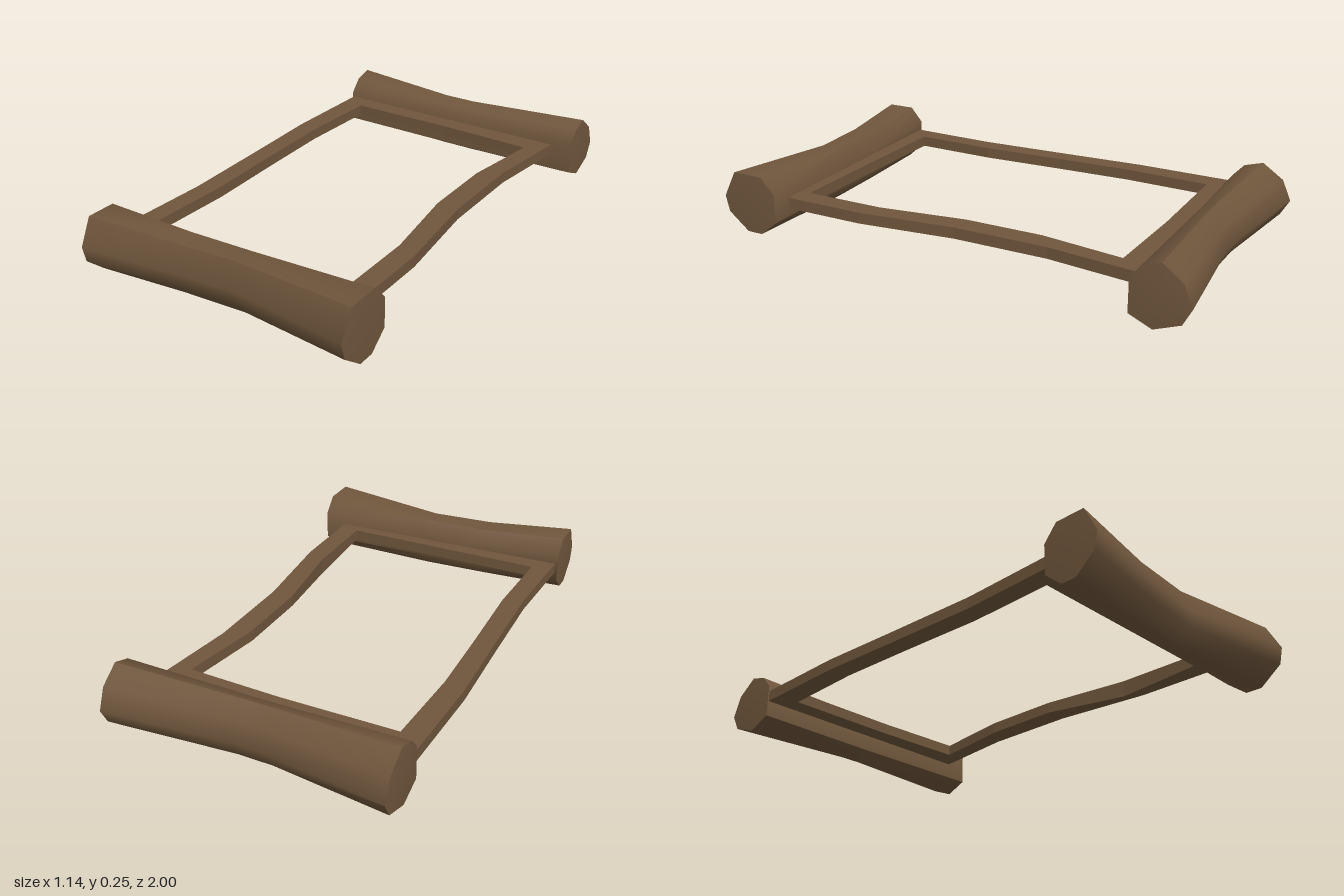
import * as THREE from 'three';
import { toCreasedNormals } from 'three/addons/utils/BufferGeometryUtils.js';

// Log lofted along x from an eight-sided profile.
// profile: [t, h] with t 0 = inner edge, 1 = outer edge; h 0 = bottom, 1 = top.
// stations: [x, inner z, outer z, bottom y, top y]
function logGeometry(profile, stations) {
  const n = profile.length, pos = [], index = [];
  for (const [x, zi, zo, yb, yt] of stations)
    for (const [t, h] of profile) pos.push(x, yb + h * (yt - yb), zi + t * (zo - zi));
  for (let i = 0; i < stations.length - 1; i++)
    for (let j = 0; j < n; j++) {
      const k = (j + 1) % n;
      const a = i * n + j, b = a + n, c = (i + 1) * n + k, d = i * n + k;
      index.push(a, b, c, a, c, d);
    }
  // slightly domed end caps
  const last = stations.length - 1;
  for (const [s, dir] of [[0, -1], [last, 1]]) {
    const [x, zi, zo, yb, yt] = stations[s];
    const centre = pos.length / 3;
    pos.push(x + dir * 0.007, (yb + yt) / 2, (zi + zo) / 2);
    for (let j = 0; j < n; j++) {
      const a = s * n + j, b = s * n + (j + 1) % n;
      if (dir > 0) index.push(centre, b, a);
      else index.push(centre, a, b);
    }
  }
  const g = new THREE.BufferGeometry();
  g.setAttribute('position', new THREE.Float32BufferAttribute(pos, 3));
  g.setIndex(index);
  return toCreasedNormals(g, 0.9);
}

// Wavy rectangular frame, outlines given as [x, z]
function frameGeometry() {
  const toPoints = (list) => list.map(([x, z]) => new THREE.Vector2(x, -z));
  const shape = new THREE.Shape(toPoints([
    [-0.56, -0.8], [-0.57, -0.34], [-0.555, 0], [-0.54, 0.4], [-0.555, 0.82],
    [0.47, 0.8], [0.47, 0.4], [0.425, 0], [0.425, -0.385], [0.475, -0.8],
  ]));
  shape.holes.push(new THREE.Path(toPoints([
    [-0.47, -0.675], [-0.485, -0.32], [-0.475, 0], [-0.46, 0.355], [-0.47, 0.7],
    [0.385, 0.7], [0.385, 0.36], [0.335, 0], [0.335, -0.32], [0.385, -0.66], [0, -0.675],
  ])));
  const g = new THREE.ExtrudeGeometry(shape, { depth: 0.045, bevelEnabled: false });
  g.rotateX(-Math.PI / 2).translate(0, 0.105, 0);
  // sag in the lower inner edge of the left rail
  const p = g.attributes.position;
  for (let i = 0; i < p.count; i++)
    if (p.getY(i) < 0.12 && Math.abs(p.getX(i) - 0.385) < 0.01 && Math.abs(p.getZ(i) - 0.36) < 0.01)
      p.setY(i, 0.083);
  g.computeVertexNormals();
  return g;
}

export function createModel() {
  const wood = new THREE.MeshStandardMaterial({ color: 0x6f563c });
  wood.name = 'brown wood';
  const group = new THREE.Group();
  group.name = 'logFrame';
  const add = (name, geometry) => {
    const mesh = new THREE.Mesh(geometry, wood);
    mesh.name = name;
    group.add(mesh);
  };

  add('frame', frameGeometry());

  add('frontLog', logGeometry(
    [[0.77, 1], [0.24, 1], [0, 0.74], [0, 0.25], [0.31, 0], [0.58, 0], [0.94, 0.29], [1, 0.56]],
    [
      [-0.565, 0.775, 0.995, 0.012, 0.25],
      [-0.2, 0.763, 0.937, 0.012, 0.23],
      [0.06, 0.755, 0.915, 0.012, 0.23],
      [0.56, 0.736, 0.985, 0.012, 0.254],
    ]));

  add('backLog', logGeometry(
    [[0.5, 1], [0.85, 0.76], [1, 0.42], [0.85, 0.16], [0.4, 0], [0, 0.16], [0, 0.7], [0.19, 0.91]],
    [
      [-0.565, -0.753, -1, 0, 0.247],
      [-0.1, -0.753, -0.927, 0, 0.228],
      [0.04, -0.753, -0.924, 0, 0.228],
      [0.562, -0.753, -0.977, 0, 0.247],
    ]));

  return group;
}
